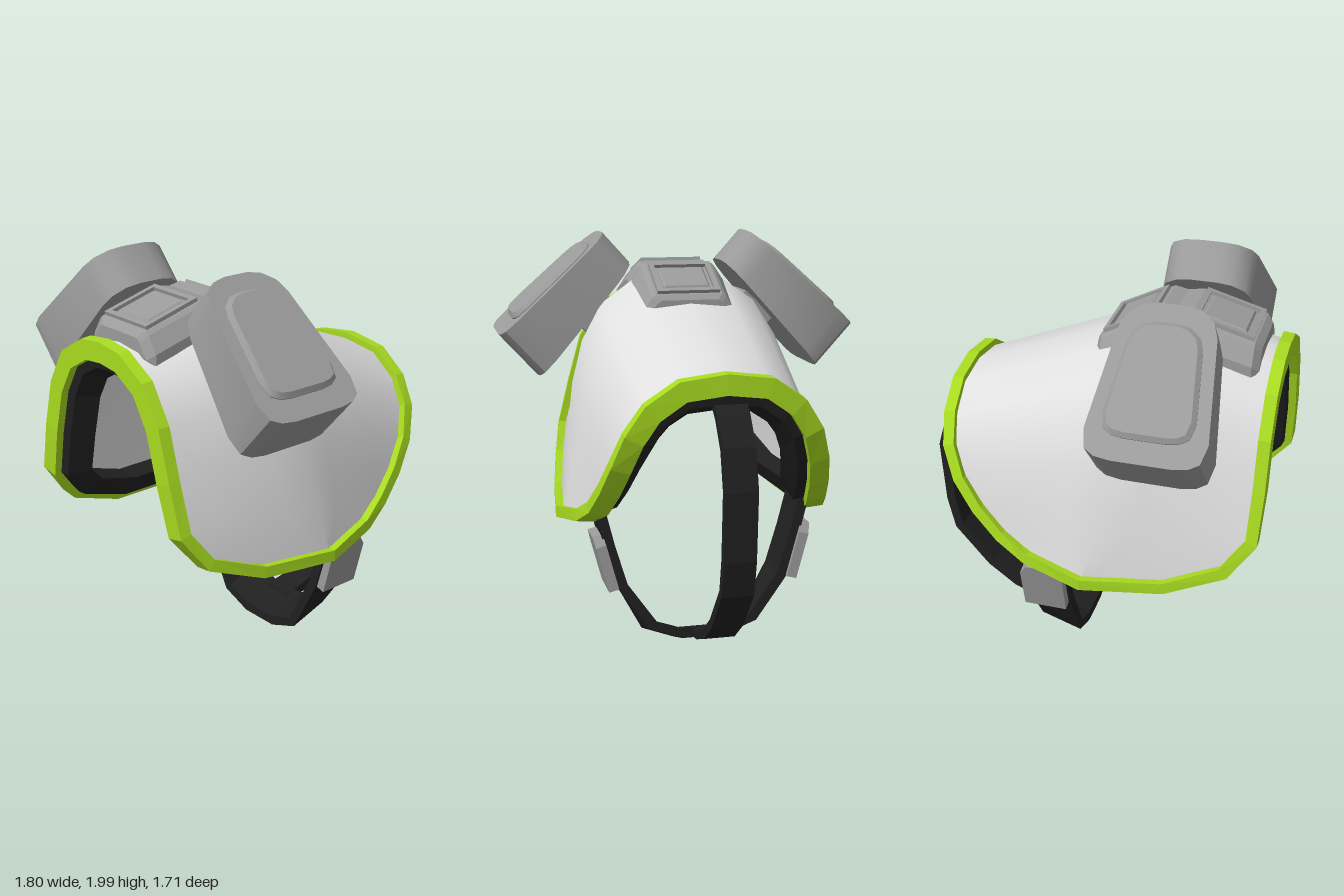
import * as THREE from 'three';
import { toCreasedNormals } from 'three/addons/utils/BufferGeometryUtils.js';

const V = (x, y, z) => new THREE.Vector3(x, y, z);
const mat = (name, color) => {
  const m = new THREE.MeshStandardMaterial({ color });
  m.name = name;
  return m;
};

// Skin a list of equal-length rings, wound so that faces point outward
function loft(rings, { loop = false, closed = true, smooth = false } = {}) {
  const n = rings[0].length, rows = rings.length, idx = [];
  const pts = rings.flat();
  for (let i = 0; i < (loop ? rows : rows - 1); i++) {
    for (let j = 0; j < (closed ? n : n - 1); j++) {
      const k = (j + 1) % n, r = ((i + 1) % rows) * n;
      idx.push(i * n + j, r + j, r + k, i * n + j, r + k, i * n + k);
    }
  }
  if (!loop && closed) {
    const e = (rows - 1) * n;
    for (let j = 1; j < n - 1; j++) idx.push(0, j, j + 1, e, e + j + 1, e + j);
  }
  const c = V(0, 0.9, 0);
  let vol = 0;
  for (let i = 0; i < idx.length; i += 3) {
    const [a, b, d] = [0, 1, 2].map(k => pts[idx[i + k]].clone().sub(c));
    vol += a.dot(b.cross(d));
  }
  if (vol < 0) idx.reverse();
  let g = new THREE.BufferGeometry().setFromPoints(pts);
  g.setIndex(idx);
  if (!smooth) g = g.toNonIndexed();
  g.computeVertexNormals();
  return g;
}

export function createModel() {
  const root = new THREE.Group();
  root.name = 'paddedShell';
  const white = mat('shell white', 0xe0e0e0);
  white.side = THREE.DoubleSide;
  const green = mat('rim green', 0xa7da20);
  const black = mat('strap black', 0x202020);
  const grey = mat('fitting grey', 0x9b9b9b);
  const add = (name, geo, m, parent = root) => {
    const mesh = new THREE.Mesh(geo, m);
    mesh.name = name;
    parent.add(mesh);
    return mesh;
  };

  // Half arches from crest to lowest side point: front edge, middle, back edge
  const F = [[0, 1.67, .82], [.13, 1.655, .82], [.28, 1.57, .82], [.38, 1.41, .82], [.445, 1.18, .82],
    [.505, .95, .81], [.54, .8, .7], [.585, .695, .43], [.63, .67, .05]].map(p => V(...p));
  const M = [[0, 1.79, .3], [.23, 1.765, .29], [.39, 1.655, .27], [.495, 1.48, .23], [.555, 1.28, .18],
    [.585, 1.08, .14], [.61, .9, .1], [.622, .78, .08], [.63, .67, .05]].map(p => V(...p));
  const B = [[0, 1.41, -.675], [.2, 1.385, -.67], [.34, 1.29, -.66], [.42, 1.17, -.64], [.47, 1.03, -.58],
    [.505, .9, -.48], [.535, .79, -.36], [.575, .72, -.22], [.63, .67, .05]].map(p => V(...p));
  const flip = p => V(-p.x, p.y, p.z);

  // Shell: straight runs from the middle arch to the front and back edges
  const rows = [];
  for (let i = -8; i <= 8; i++) {
    const k = Math.abs(i), row = [];
    for (let u = 0; u <= 8; u++) {
      const p = u < 4 ? F[k].clone().lerp(M[k], u / 4) : M[k].clone().lerp(B[k], (u - 4) / 4);
      row.push(i < 0 ? flip(p) : p);
    }
    rows.push(row);
  }
  add('shell', loft(rows, { closed: false, smooth: true }), white);

  // Edge loop with outward normals, shared by the rim and the lining
  const normals = M.map((p, i) => {
    if (i === 0) return V(0, 1, 0);
    const t = M[Math.min(i + 1, 8)].clone().sub(M[i - 1]);
    return V(-t.y, t.x, 0).normalize();
  });
  const half = [...F, ...B.slice(0, 8).reverse()];
  const halfN = half.map((p, i) => normals[i <= 8 ? i : 16 - i]);
  const loopOf = a => [...a, ...a.slice(1, 16).reverse().map(flip)];
  const edge = loopOf(half), edgeN = loopOf(halfN);
  const sweepEdge = section => loft(edge.map((p, i) => {
    const t = edge[(i + 1) % 32].clone().sub(edge[(i + 31) % 32]).normalize();
    const w = t.clone().cross(edgeN[i]).normalize();
    const n = w.clone().cross(t);
    return section.map(([a, b]) => p.clone().addScaledVector(n, a).addScaledVector(w, b));
  }), { loop: true });
  add('rim', sweepEdge([[.04, -.02], [.035, .035], [-.06, .035], [-.06, -.02]]), green);
  add('lining', sweepEdge([[-.02, .005], [-.105, -.01], [-.15, -.12], [-.03, -.12]]), black);

  // Flat band swept along a path; side is the direction of its width
  const band = (path, side, width, thick, tilt = () => 0) => loft(path.map((p, i) => {
    const t = path[Math.min(i + 1, path.length - 1)].clone().sub(path[Math.max(i - 1, 0)]).normalize();
    const n = t.cross(side).normalize();
    return [[1, 1], [1, -1], [-1, -1], [-1, 1]].map(([a, b]) => {
      const q = p.clone().addScaledVector(side, a * width / 2).addScaledVector(n, b * thick / 2);
      q.y += tilt(p) * a;
      return q;
    });
  }));

  // Chin strap, its bottom tilted toward the front
  const strapHalf = [[.5, .74], [.455, .56], [.395, .36], [.25, .12], [.1, .065]].map(([x, y]) => V(x, y, -.17));
  const strap = [...strapHalf, ...strapHalf.map(flip).reverse()];
  add('chinStrap', band(strap, V(0, 0, 1), .2, .05, p => (p.y < .2 ? -.034 : 0)), black);

  // Rear strap, set slightly off centre
  const rear = [[-.22, .09], [-.33, .11], [-.47, .165], [-.61, .27], [-.78, .47], [-.815, .63],
    [-.835, .95], [-.785, 1.13], [-.69, 1.255], [-.63, 1.3]].map(([z, y]) => V(-.025, y, z));
  add('rearStrap', band(rear, V(1, 0, 0), .15, .045), black);

  const shapeOf = pts => new THREE.Shape(pts.map(p => new THREE.Vector2(...p)));
  // Mirrored outline for a pod: half widths against length along its axis
  const podOutline = (k, lift) => {
    const r = [[.13, -.002], [.2, .008], [.245, .035], [.265, .12], [.215, .58], [.19, .65], [.13, .7], [.06, .715]]
      .map(([w, a]) => [w * k, .345 + lift + (a - .345) * k]);
    return shapeOf([...r, ...r.map(([w, a]) => [-w, a]).reverse()]);
  };

  for (const s of [1, -1]) {
    const label = s > 0 ? 'left' : 'right';

    // Buckle on the side of the chin strap
    const buckle = new THREE.ExtrudeGeometry(shapeOf([[-.105, -.14], [.105, -.14], [.105, .09], [.07, .14], [-.065, .14], [-.105, .08]]),
      { depth: .05, bevelEnabled: false });
    buckle.translate(0, 0, -.025);
    buckle.rotateY(Math.PI / 2);
    const bm = add(label + 'Buckle', buckle, grey);
    bm.position.set(s * .477, .485, -.185);
    bm.rotation.z = -s * .26;

    // Tapered pod with a raised cover, resting on the shell
    const pod = new THREE.Group();
    pod.name = label + 'Pod';
    const d = V(-.741 * s, .671, 0), n = V(.671 * s, .741, 0);
    pod.quaternion.setFromRotationMatrix(new THREE.Matrix4().makeBasis(d.clone().cross(n), d, n));
    pod.position.set(s * .9, 1.52, .395);
    const body = new THREE.ExtrudeGeometry(podOutline(1, 0), { depth: 1, bevelEnabled: false });
    const bp = body.attributes.position;
    for (let i = 0; i < bp.count; i++) {
      if (bp.getZ(i) < .5) bp.setZ(i, -.28 + .08 * bp.getY(i) / .715);
      else bp.setZ(i, 0);
    }
    add('podBody', toCreasedNormals(body, .75), grey, pod);
    const cover = new THREE.ExtrudeGeometry(podOutline(.68, .01),
      { depth: .005, bevelThickness: .02, bevelSize: .02, bevelSegments: 1 });
    add('podCover', toCreasedNormals(cover, .6), grey, pod);
    const mount = add('podMount', new THREE.BoxGeometry(.2, .2, .1), grey, pod);
    mount.position.set(0, .42, -.28);
    root.add(pod);
  }

  // Crest block: arched body with chamfered sides
  const crest = [[.75, 1.65, 1.735, .15], [.72, 1.62, 1.765, .18], [.42, 1.62, 1.848, .185],
    [.34, 1.62, 1.835, .185], [.28, 1.62, 1.848, .185], [.02, 1.62, 1.715, .185], [0, 1.62, 1.69, .16]];
  add('crestBlock', loft(crest.map(([z, base, top, w]) => {
    const r = [[w + .05, base], [w + .05, top - .09], [w, top - .015], [w - .02, top]];
    return [...r.map(([x, y]) => V(x, y, z)), ...r.reverse().map(([x, y]) => V(-x, y, z))];
  })), grey);

  // Framed square buttons on the two slopes of the crest
  const square = (w, h) => [[-w, -h], [w, -h], [w, h], [-w, h]];
  for (const [name, z, y, h, tilt] of [['frontButton', .57, 1.806, .145, .27], ['backButton', .145, 1.778, .13, -.473]]) {
    const button = new THREE.Group();
    button.name = name;
    const frame = shapeOf(square(.155, h));
    frame.holes.push(new THREE.Path(square(.13, h - .025).reverse().map(p => new THREE.Vector2(...p))));
    const fg = new THREE.ExtrudeGeometry(frame, { depth: .018, bevelEnabled: false });
    add('buttonFrame', fg, grey, button);
    const pad = new THREE.ExtrudeGeometry(shapeOf(square(.105, h - .05)),
      { depth: .005, bevelThickness: .01, bevelSize: .01, bevelSegments: 1 });
    add('buttonPad', pad, grey, button);
    button.position.set(0, y, z);
    button.rotation.x = -Math.PI / 2 + tilt;
    root.add(button);
  }
  return root;
}
